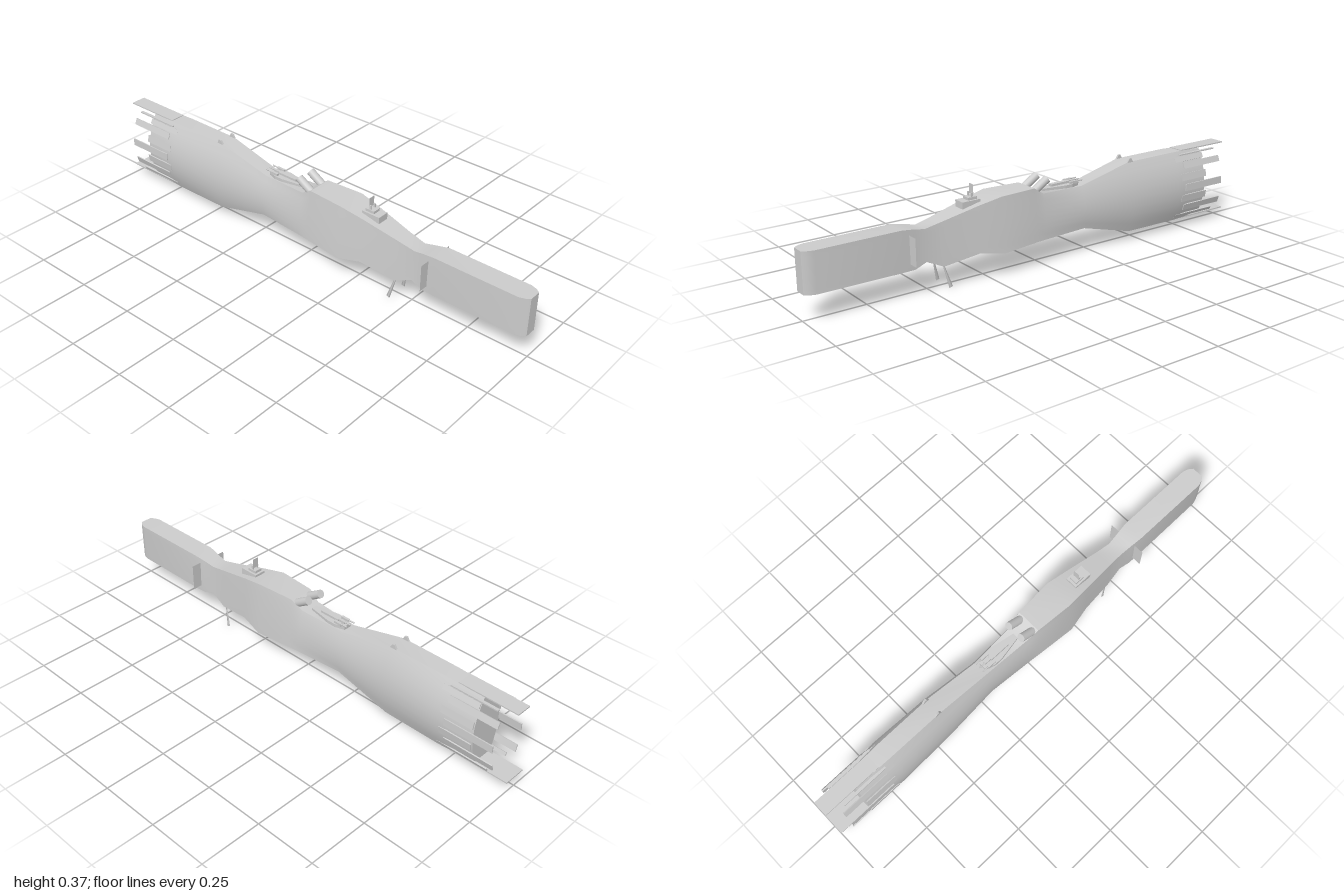
import * as THREE from 'three';
import { toCreasedNormals } from 'three/addons/utils/BufferGeometryUtils.js';

const grey = new THREE.MeshStandardMaterial({ color: 0xcccccc });
const greySheet = new THREE.MeshStandardMaterial({ color: 0xcccccc, side: THREE.DoubleSide });

// Hull stations, bow to stern: z, top y, bottom y, half-widths at top, middle, bottom
const STATIONS = [
  [1.0, 0.265, 0.105, 0.024, 0.024, 0.024],
  [0.985, 0.265, 0.105, 0.036, 0.036, 0.036],
  [0.96, 0.265, 0.105, 0.044, 0.044, 0.044],
  [0.62, 0.265, 0.105, 0.044, 0.046, 0.046],
  [0.57, 0.257, 0.105, 0.038, 0.042, 0.044],
  [0.52, 0.247, 0.122, 0.033, 0.036, 0.04],
  [0.45, 0.262, 0.09, 0.038, 0.043, 0.047],
  [0.30, 0.297, 0.115, 0.053, 0.06, 0.066],
  [0.20, 0.317, 0.098, 0.063, 0.075, 0.085],
  [0.04, 0.317, 0.105, 0.052, 0.065, 0.073],
  [-0.01, 0.285, 0.105, 0.043, 0.061, 0.068],
  [-0.21, 0.278, 0.105, 0.032, 0.058, 0.052],
  [-0.45, 0.336, 0.042, 0.036, 0.076, 0.05],
  [-0.70, 0.337, 0.04, 0.035, 0.086, 0.05],
  [-0.77, 0.335, 0.042, 0.033, 0.08, 0.047],
  [-0.86, 0.328, 0.05, 0.03, 0.073, 0.043],
];
const STEPS = 8;

// Half-width at height fraction u, curved through bottom, middle and top
const halfWidth = (u, top, mid, bot) =>
  bot * (1 - u) * (1 - 2 * u) + 4 * mid * u * (1 - u) + top * u * (2 * u - 1);

function hullGeometry() {
  const pos = [], index = [], n = 2 * (STEPS + 1);
  for (const [z, top, bot, wt, wm, wb] of STATIONS) {
    for (let j = 0; j < n; j++) {
      const side = j <= STEPS ? 1 : -1;
      const u = (side > 0 ? j : n - 1 - j) / STEPS;
      pos.push(side * halfWidth(u, wt, wm, wb), bot + (top - bot) * u, z);
    }
  }
  for (let i = 0; i < STATIONS.length - 1; i++) {
    for (let j = 0; j < n; j++) {
      const a = i * n + j, b = i * n + (j + 1) % n;
      index.push(a, a + n, b, b, a + n, b + n);
    }
  }
  const last = (STATIONS.length - 1) * n;
  for (let j = 1; j < n - 1; j++) {
    index.push(0, j, j + 1, last, last + j + 1, last + j);
  }
  const g = new THREE.BufferGeometry();
  g.setAttribute('position', new THREE.Float32BufferAttribute(pos, 3));
  g.setIndex(index);
  return toCreasedNormals(g, 0.55);
}

export function createModel() {
  const model = new THREE.Group();
  const add = (name, geometry, x = 0, y = 0, z = 0, parent = model, material = grey) => {
    const m = new THREE.Mesh(geometry, material);
    m.name = name;
    m.position.set(x, y, z);
    parent.add(m);
    return m;
  };
  const box = (name, w, h, d, x, y, z, parent) =>
    add(name, new THREE.BoxGeometry(w, h, d), x, y, z, parent);
  const group = (name) => {
    const g = new THREE.Group();
    g.name = name;
    model.add(g);
    return g;
  };

  add('hull', hullGeometry());

  // Stern planks: centre y, height, front z, back z
  const planks = group('sternPlanks');
  const rows = [
    [0.305, 0.022, -0.70, -0.86], [0.278, 0.027, -0.74, -0.95],
    [0.232, 0.03, -0.72, -0.86], [0.186, 0.03, -0.74, -0.95],
    [0.14, 0.03, -0.72, -0.86], [0.096, 0.028, -0.74, -0.95],
    [0.058, 0.014, -0.70, -0.92],
  ];
  const sternWidth = (y) => halfWidth((y - 0.04) / 0.297, 0.035, 0.086, 0.05);
  for (const s of [-1, 1]) {
    for (const [y, h, z0, z1] of rows) {
      const slope = (sternWidth(y + 0.01) - sternWidth(y - 0.01)) / 0.02;
      const p = box('sternPlank', 0.005, h, z0 - z1, s * (sternWidth(y) - 0.003), y, (z0 + z1) / 2, planks);
      p.rotation.z = -s * Math.atan(slope);
    }
    // Upper edge planks
    box('edgePlank', 0.012, 0.005, 0.2, s * 0.043, 0.322, -0.83, planks);
  }
  box('topPlank', 0.064, 0.005, 0.25, 0, 0.336, -0.875, planks);
  box('bottomPlank', 0.094, 0.005, 0.25, 0, 0.041, -0.875, planks);

  // Forward tower with upright plate
  const tower = group('tower');
  box('towerBase', 0.05, 0.035, 0.08, 0, 0.295, 0.31, tower);
  box('towerStep', 0.034, 0.012, 0.04, 0, 0.317, 0.30, tower);
  for (const s of [-1, 1]) box('towerPost', 0.005, 0.022, 0.008, s * 0.011, 0.328, 0.30, tower);
  add('towerPlate', new THREE.PlaneGeometry(0.028, 0.04), 0, 0.35, 0.295, tower, greySheet);

  // Twin tubes leaning aft
  for (const s of [-1, 1]) {
    const tube = add('tube', new THREE.CylinderGeometry(0.0165, 0.0165, 0.09, 16), s * 0.033, 0.314, 0.005);
    tube.rotation.x = -1.02;
  }

  // Tapered deckhouse behind the tubes
  const deckhouse = group('deckhouse');
  const plan = new THREE.Shape([
    [-0.012, 0.03], [0.012, 0.03], [0.03, 0.13], [0.03, 0.165],
    [0.016, 0.205], [-0.016, 0.205], [-0.03, 0.165], [-0.03, 0.13],
  ].map(([x, y]) => new THREE.Vector2(x, y)));
  const slab = new THREE.ExtrudeGeometry(plan, { depth: 0.015, bevelEnabled: false });
  slab.rotateX(-Math.PI / 2);
  add('deckSlab', slab, 0, 0.278, 0, deckhouse);
  box('deckRidge', 0.018, 0.01, 0.09, 0, 0.297, -0.12, deckhouse);
  for (const x of [-0.02, 0, 0.02]) {
    box('deckBlock', 0.01, 0.012, 0.035, x, 0.296, -0.175, deckhouse);
    const barrel = add('deckBarrel', new THREE.CylinderGeometry(0.003, 0.003, 0.03, 8), x, 0.299, -0.205, deckhouse);
    barrel.rotation.x = Math.PI / 2;
  }

  for (const s of [-1, 1]) {
    // Small fins on the aft deck edge
    const fin = new THREE.Shape([[0.445, 0.334], [0.475, 0.334], [0.465, 0.352], [0.455, 0.35]]
      .map(([x, y]) => new THREE.Vector2(x, y)));
    const finGeometry = new THREE.ExtrudeGeometry(fin, { depth: 0.008, bevelEnabled: false });
    finGeometry.rotateY(Math.PI / 2);
    add('deckFin', finGeometry, s * 0.034 - 0.004, 0, 0);

    // Thin side vanes facing forward
    add('sideVane', new THREE.PlaneGeometry(0.05, 0.11), s * 0.06, 0.185, 0.59, model, greySheet);

    // Keel prongs widening towards the tip
    const prong = add('keelProng', new THREE.CylinderGeometry(0.003, 0.008, 0.096, 4), s * 0.041, 0.049, 0.435);
    prong.scale.x = 0.15;
    prong.rotation.set(0.26, 0, s * 0.13);
  }

  return model;
}
